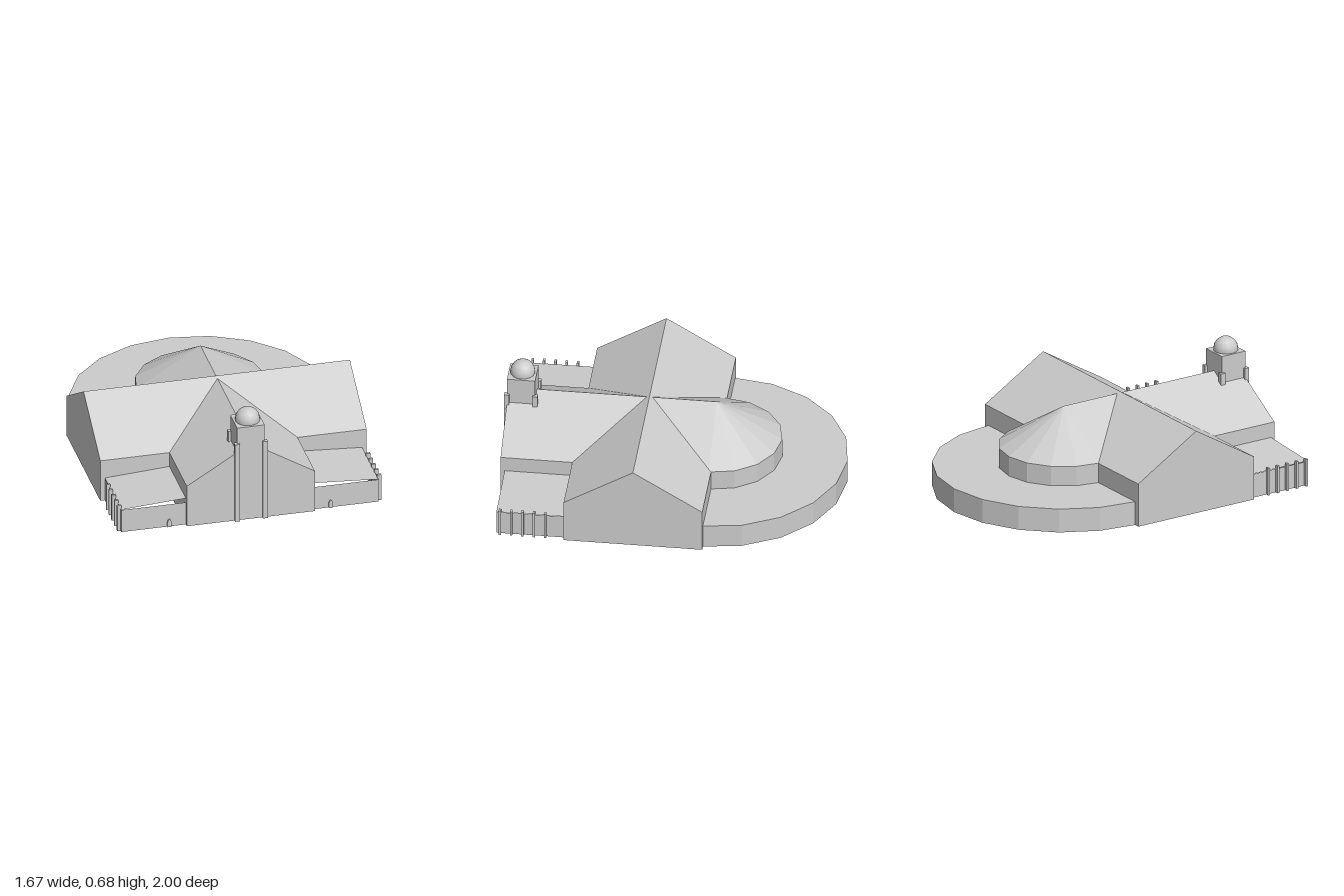
import * as THREE from 'three';

const stone = new THREE.MeshStandardMaterial({ color: 0xcccccc, side: THREE.DoubleSide });
stone.name = 'pale stone';

const CX = 0.024;      // centre line of the church
const APSE_Z = -0.255; // centre of the apse half circles
const EAVE = 0.26;

// Faceted copy of a geometry
function facet(geometry) {
  const flat = geometry.index ? geometry.toNonIndexed() : geometry;
  flat.computeVertexNormals();
  return flat;
}

function add(parent, name, geometry, x = 0, y = 0, z = 0) {
  const mesh = new THREE.Mesh(geometry, stone);
  mesh.name = name;
  mesh.position.set(x, y, z);
  parent.add(mesh);
  return mesh;
}

// Flat convex polygons, each a list of [x, y, z] corners
function panels(...polygons) {
  const positions = [];
  for (const p of polygons)
    for (let i = 1; i < p.length - 1; i++) positions.push(...p[0], ...p[i], ...p[i + 1]);
  const g = new THREE.BufferGeometry();
  g.setAttribute('position', new THREE.Float32BufferAttribute(positions, 3));
  g.computeVertexNormals();
  return g;
}

// Floorless hall with its ridge along z
function gableHall(name, halfWidth, ridge, z0, z1, closedBack) {
  const hall = new THREE.Group();
  hall.name = name;
  const w = halfWidth;
  const wall = (s) => [[s * w, 0, z1], [s * w, 0, z0], [s * w, EAVE, z0], [s * w, EAVE, z1]];
  const slope = (s) => [[s * w, EAVE, z1], [s * w, EAVE, z0], [0, ridge, z0], [0, ridge, z1]];
  const gable = (z) => [[-w, 0, z], [w, 0, z], [w, EAVE, z], [0, ridge, z], [-w, EAVE, z]];
  add(hall, name + 'Walls', panels(wall(1), wall(-1).reverse()));
  add(hall, name + 'Roof', panels(slope(1), slope(-1).reverse()));
  add(hall, name + 'FrontGable', panels(gable(z1)));
  if (closedBack) add(hall, name + 'BackGable', panels(gable(z0).reverse()));
  return hall;
}

function halfDrum(radius, height, segments) {
  return facet(new THREE.CylinderGeometry(radius, radius, height, segments, 1, true, Math.PI / 2, Math.PI));
}

// Points along a half circle, from +x round the back to -x
function arc(radius, segments) {
  return Array.from({ length: segments + 1 }, (_, i) => {
    const a = Math.PI * i / segments;
    return new THREE.Vector2(radius * Math.cos(a), radius * Math.sin(a));
  });
}

export function createModel() {
  const model = new THREE.Group();
  model.name = 'church';
  const church = new THREE.Group();
  church.name = 'building';
  church.rotation.y = -0.102;
  model.add(church);

  // Nave and crossing transept
  const nave = gableHall('nave', 0.377, 0.49, APSE_Z, 0.943, false);
  nave.position.x = CX;
  church.add(nave);
  const transept = gableHall('transept', 0.399, 0.5, -0.784, 0.784, true);
  transept.rotation.y = Math.PI / 2;
  transept.position.set(CX, 0, 0.131);
  church.add(transept);

  // Apse with conical roof
  add(church, 'apseWall', halfDrum(0.377, EAVE, 8), CX, EAVE / 2, APSE_Z);
  const cone = facet(new THREE.ConeGeometry(0.377, 0.23, 8, 1, true, Math.PI / 2, Math.PI));
  add(church, 'apseRoof', cone, CX, EAVE + 0.115, APSE_Z);

  // Low ambulatory with a flat roof around the apse
  add(church, 'ambulatoryWall', halfDrum(0.753, 0.142, 10), CX, 0.071, APSE_Z);
  const ring = new THREE.ShapeGeometry(new THREE.Shape([...arc(0.753, 10), ...arc(0.377, 8).reverse()]));
  ring.rotateX(-Math.PI / 2);
  add(church, 'ambulatoryRoof', ring, CX, 0.142, APSE_Z);

  // Pointed door outline
  const door = new THREE.Shape();
  door.moveTo(-0.012, 0);
  door.lineTo(0.012, 0);
  door.lineTo(0.012, 0.032);
  door.quadraticCurveTo(0.01, 0.044, 0, 0.05);
  door.quadraticCurveTo(-0.01, 0.044, -0.012, 0.032);
  const doorGeometry = new THREE.ExtrudeGeometry(door, { depth: 0.018, bevelEnabled: false, curveSegments: 3 });

  // Side aisles: low walls, lean-to roof, buttresses and door
  for (const s of [-1, 1]) {
    const aisle = new THREE.Group();
    aisle.name = s > 0 ? 'leftAisle' : 'rightAisle';
    aisle.position.x = CX;
    church.add(aisle);
    const xi = s * 0.377, xo = s * 0.757, z0 = 0.53, z1 = 0.92, h = 0.143;
    const walls = [
      [[xi, 0, z1], [xo, 0, z1], [xo, h, z1], [xi, h, z1]],
      [[xo, 0, z1], [xo, 0, z0], [xo, h, z0], [xo, h, z1]],
    ];
    const roof = [[xi, 0.17, z1], [xo, h + 0.002, z1], [xo, h + 0.002, z0], [xi, 0.17, z0]];
    if (s < 0) {
      walls.forEach((w) => w.reverse());
      roof.reverse();
    }
    add(aisle, 'aisleWalls', panels(...walls));
    add(aisle, 'aisleRoof', panels(roof));
    for (let i = 0; i < 5; i++)
      add(aisle, 'buttress', new THREE.BoxGeometry(0.024, 0.165, 0.013), s * 0.765, 0.0825, 0.638 + i * 0.0652);
    add(aisle, 'door', doorGeometry, s * 0.475, 0, z1 - 0.009);
  }

  // Bell tower with corner pilasters and dome
  const tower = new THREE.Group();
  tower.name = 'tower';
  tower.position.set(CX, 0, 0.862);
  church.add(tower);
  const t = 0.081;
  const side = (a, b) => [[a[0], 0, a[1]], [b[0], 0, b[1]], [b[0], 0.6, b[1]], [a[0], 0.6, a[1]]];
  const corners = [[-t, t], [t, t], [t, -t], [-t, -t]];
  add(tower, 'towerWalls', panels(...corners.map((c, i) => side(c, corners[(i + 1) % 4]))));
  add(tower, 'towerTop', panels(corners.map(([x, z]) => [x, 0.6, z])));
  for (const [x, z] of corners)
    add(tower, 'pilaster', new THREE.BoxGeometry(0.029, 0.5, 0.029), x * 1.01, 0.25, z * 1.01);
  add(tower, 'dome', new THREE.SphereGeometry(0.072, 16, 8), 0, 0.61, 0);

  return model;
}
